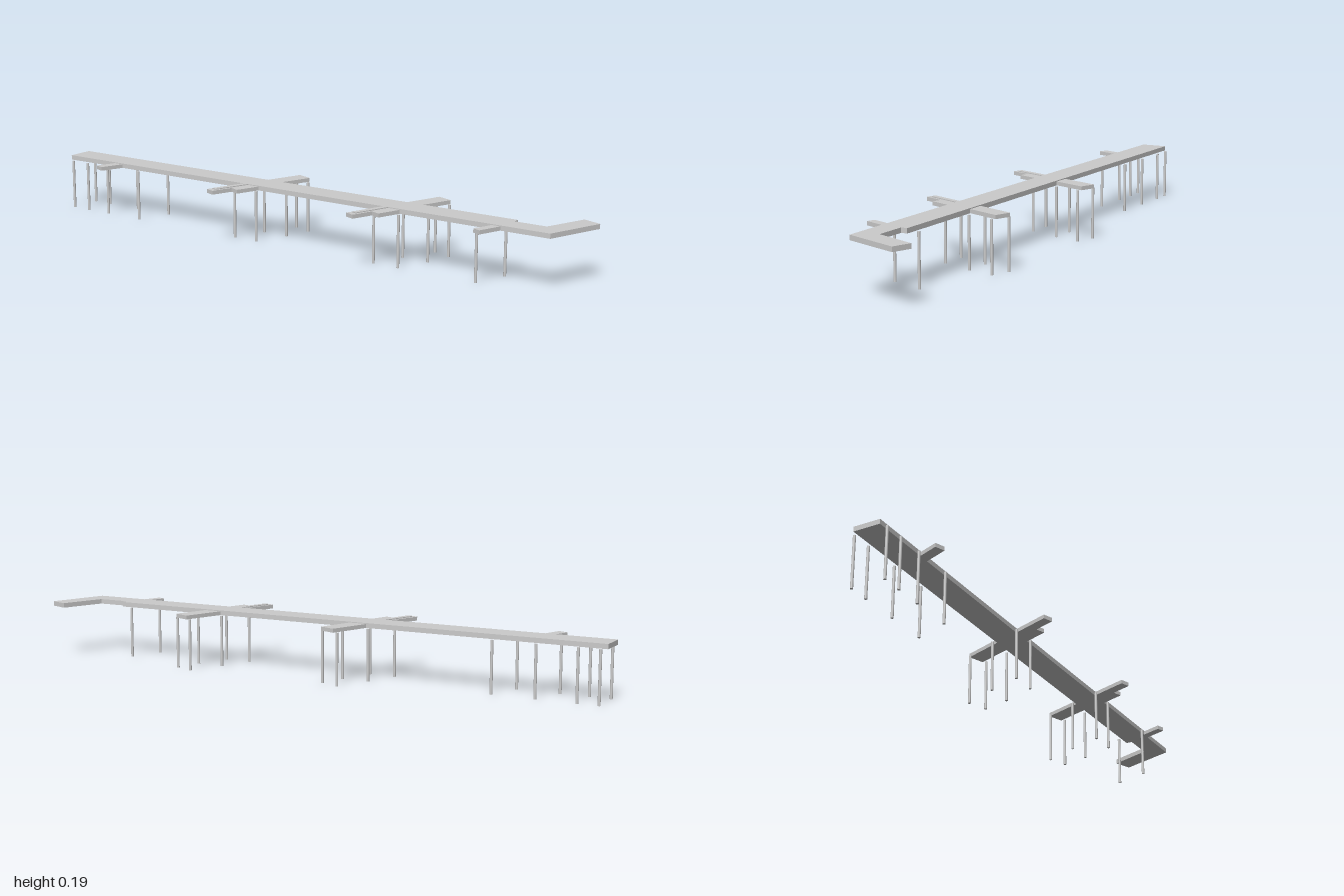
import * as THREE from 'three';

const BOTTOM = 0.173, TOP = 0.189, LOW_TOP = 0.186;
const TILT = THREE.MathUtils.degToRad(20);
const mat = new THREE.MeshStandardMaterial({ color: 0xcccccc, flatShading: true });
const smooth = new THREE.MeshStandardMaterial({ color: 0xcccccc });

// Slanted plank whose outer end is centred on (x, z); it runs back to z = toZ
function finger(name, x, z, toZ, width, top, bottom = BOTTOM) {
  const length = Math.abs(z - toZ) / Math.cos(TILT);
  const mesh = new THREE.Mesh(new THREE.BoxGeometry(width, top - bottom, length), mat);
  const midZ = (z + toZ) / 2;
  mesh.position.set(x - (midZ - z) * Math.tan(TILT), (top + bottom) / 2, midZ);
  mesh.rotation.y = -TILT;
  mesh.name = name;
  return mesh;
}

export function createModel() {
  const pier = new THREE.Group();
  pier.name = 'pier';

  // Main walkway with the narrowed, angled end, as [x, z] corners
  const outline = [
    [-1, 0.043], [0.93, 0.043], [1, -0.149], [0.938, -0.171],
    [0.883, -0.027], [0.775, -0.027], [0.775, -0.048], [-1, -0.048],
  ];
  const shape = new THREE.Shape(outline.map(([x, z]) => new THREE.Vector2(x, -z)));
  const deckGeo = new THREE.ExtrudeGeometry(shape, { depth: TOP - BOTTOM, bevelEnabled: false });
  deckGeo.rotateX(-Math.PI / 2);
  const deck = new THREE.Mesh(deckGeo, mat);
  deck.position.y = BOTTOM;
  deck.name = 'walkway';
  pier.add(deck);

  // Two identical crossings of finger piers
  for (const dx of [0, 0.556]) {
    pier.add(
      finger('backFinger', -0.112 + dx, -0.173, 0, 0.057, LOW_TOP),
      finger('longFrontFinger', -0.251 + dx, 0.175, 0, 0.034, LOW_TOP),
      finger('longFingerStrip', -0.245 + dx, 0.159, 0, 0.018, TOP, LOW_TOP),
      finger('shortFrontFinger', -0.194 + dx, 0.116, 0, 0.034, LOW_TOP),
    );
  }

  // Single short fingers near both ends
  pier.add(
    finger('leftEndFinger', -0.798, 0.116, 0, 0.034, LOW_TOP),
    finger('rightEndFinger', 0.722, 0.116, 0, 0.028, LOW_TOP),
  );

  // Piles along the front edge, the back edge and the back finger tips
  const piles = [
    [0.055, [-0.98, -0.91, -0.815, -0.67, -0.24, -0.15, 0.318, 0.41, 0.69]],
    [-0.058, [-0.98, -0.91, -0.775, -0.63, -0.2, -0.107, 0.358, 0.452, 0.73]],
    [-0.174, [-0.148, 0.41]],
    [-0.151, [-0.083, 0.474]],
  ];
  const pileGeo = new THREE.CylinderGeometry(0.0047, 0.0047, BOTTOM, 16);
  for (const [z, xs] of piles) {
    for (const x of xs) {
      const pile = new THREE.Mesh(pileGeo, smooth);
      pile.position.set(x, BOTTOM / 2, z);
      pile.name = 'pile';
      pier.add(pile);
    }
  }
  return pier;
}
